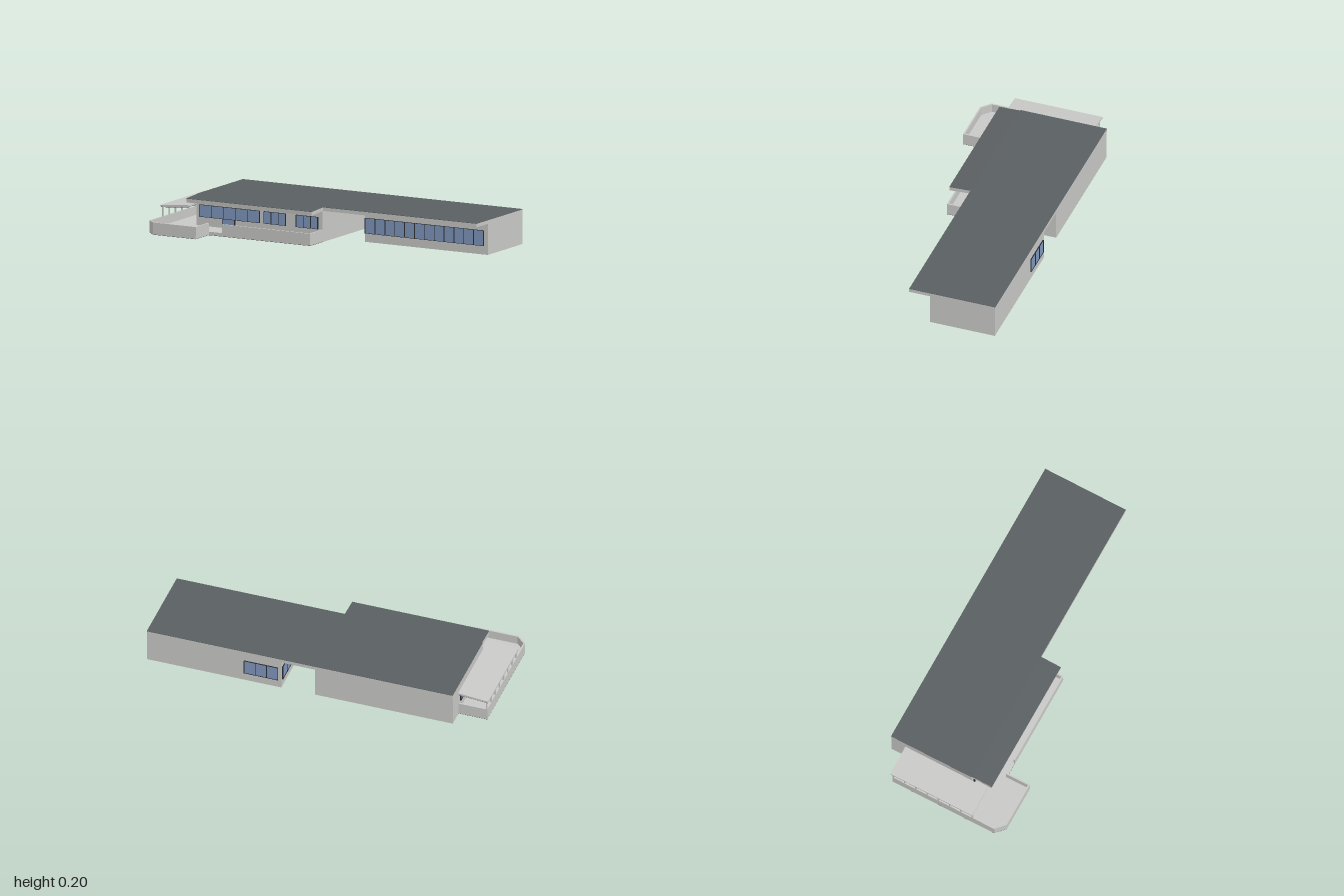
import * as THREE from 'three';

const mat = (name, color, side = THREE.FrontSide) => {
  const m = new THREE.MeshStandardMaterial({ color, side });
  m.name = name;
  return m;
};

export function createModel() {
  const model = new THREE.Group();
  model.name = 'longHouse';
  const wall = mat('paleConcrete', 0xc8c8c6);
  const slate = mat('darkSlate', 0x5a5f62);
  const glass = mat('blueGlass', 0x7f96bd);
  const trim = mat('blackTrim', 0x2a2c2f);

  // Box given by its limits on each axis
  const box = (name, [x0, x1], [y0, y1], [z0, z1], material, parent = model) => {
    const m = new THREE.Mesh(new THREE.BoxGeometry(x1 - x0, y1 - y0, z1 - z0), material);
    m.position.set((x0 + x1) / 2, (y0 + y1) / 2, (z0 + z1) / 2);
    m.name = name;
    parent.add(m);
    return m;
  };
  // Flat plan [x, z] extruded upwards from y0 to y1
  const slab = (name, plan, y0, y1, material) => {
    const shape = new THREE.Shape(plan.map(([x, z]) => new THREE.Vector2(x, -z)));
    const g = new THREE.ExtrudeGeometry(shape, { depth: y1 - y0, bevelEnabled: false });
    g.rotateX(-Math.PI / 2).translate(0, y0, 0);
    const m = new THREE.Mesh(g, material);
    m.name = name;
    model.add(m);
  };
  // Section [z, y] extruded along x
  const prism = (name, section, x0, x1, material) => {
    const shape = new THREE.Shape(section.map(([z, y]) => new THREE.Vector2(-z, y)));
    const g = new THREE.ExtrudeGeometry(shape, { depth: x1 - x0, bevelEnabled: false });
    g.rotateY(Math.PI / 2).translate(x0, 0, 0);
    const m = new THREE.Mesh(g, material);
    m.name = name;
    model.add(m);
  };
  // Row of panes with thin fins; built facing +z, then turned into place
  const windowRow = (name, width, y0, y1, panes, x, z, turn = 0) => {
    const g = new THREE.Group();
    g.name = name;
    box('pane', [-width / 2, width / 2], [y0, y1], [0, 0.003], glass, g);
    for (let i = 0; i <= panes; i++) {
      const p = -width / 2 + (width * i) / panes;
      box('mullion', [p - 0.0015, p + 0.0015], [y0, y1], [0, 0.007], trim, g);
    }
    for (const y of [y0, y1]) {
      box('frame', [-width / 2, width / 2], [y - 0.001, y + 0.001], [0, 0.006], trim, g);
    }
    g.position.set(x, 0, z);
    g.rotation.y = turn;
    model.add(g);
  };

  // Two wings with an open passage between them, dark underneath
  const wingMats = [wall, wall, wall, slate, wall, wall];
  box('leftHandWing', [-0.82, 0], [0, 0.18], [-0.4, 0.115], wingMats);
  box('longWing', [0.2, 1], [0, 0.18], [-0.4, -0.012], wingMats);

  // Roof slab, sloping front overhang and dark covering
  box('roofSlab', [-0.82, 1], [0.178, 0.198], [-0.402, 0.113], wall);
  box('roofCovering', [-0.82, 1], [0.198, 0.2], [-0.402, 0.113], slate);
  prism('overhang', [[0.113, 0.178], [0.238, 0.17], [0.24, 0.192], [0.113, 0.198]], -0.815, 0, wall);
  prism('overhangCovering', [[0.113, 0.198], [0.24, 0.192], [0.24, 0.194], [0.113, 0.2]], -0.815, 0, slate);

  // Windows
  windowRow('frontWindowLong', 0.39, 0.072, 0.14, 5, -0.605, 0.115);
  windowRow('frontDoor', 0.08, 0.022, 0.072, 1, -0.61, 0.115);
  windowRow('frontWindowMiddle', 0.14, 0.072, 0.14, 3, -0.31, 0.115);
  windowRow('frontWindowEnd', 0.14, 0.072, 0.14, 3, -0.1, 0.115);
  windowRow('longWingWindow', 0.77, 0.05, 0.137, 12, 0.59, -0.012);
  windowRow('backWindow', 0.2, 0.05, 0.135, 3, 0.32, -0.4, Math.PI);
  windowRow('passageWindow', 0.36, 0.05, 0.135, 5, 0.2, -0.206, -Math.PI / 2);
  windowRow('endWindow', 0.34, 0.072, 0.135, 5, -0.82, -0.1, -Math.PI / 2);

  // Terrace floor
  const plan = [[-0.82, -0.3], [-0.99, -0.3], [-0.99, 0.35], [-0.935, 0.4], [-0.66, 0.4],
    [-0.66, 0.255], [0, 0.255], [0, 0.11], [-0.82, 0.11]];
  slab('terraceBase', plan, 0, 0.002, slate);
  slab('terraceFloor', plan, 0.002, 0.02, wall);

  // Parapet around the terrace, with a gap for the entrance
  const parapet = (points) => {
    for (let i = 0; i + 1 < points.length; i++) {
      const a = new THREE.Vector2(...points[i]), b = new THREE.Vector2(...points[i + 1]);
      const m = new THREE.Mesh(new THREE.BoxGeometry(a.distanceTo(b) + 0.006, 0.068, 0.009), wall);
      m.position.set((a.x + b.x) / 2, 0.036, (a.y + b.y) / 2);
      m.rotation.y = -Math.atan2(b.y - a.y, b.x - a.x);
      m.name = 'parapet';
      model.add(m);
    }
  };
  parapet([[-0.82, -0.296], [-0.986, -0.296], [-0.986, 0.348], [-0.933, 0.396], [-0.664, 0.396], [-0.664, 0.255]]);
  parapet([[-0.57, 0.251], [-0.005, 0.251], [-0.005, 0.115]]);

  // Side canopy: tilted sheet with dark soffit, on a row of posts
  const canopy = new THREE.Group();
  canopy.name = 'canopy';
  box('canopySheet', [-0.09, 0.09], [-0.004, 0.007], [-0.262, 0.262], wall, canopy);
  box('canopySoffit', [-0.088, 0.088], [-0.007, -0.004], [-0.26, 0.26], slate, canopy);
  canopy.position.set(-0.909, 0.136, -0.048);
  canopy.rotation.z = 0.085;
  model.add(canopy);
  for (let i = 0; i < 8; i++) {
    const z = 0.208 - i * 0.072;
    box('canopyPost', [-0.99, -0.982], [0.068, 0.128], [z - 0.004, z + 0.004], wall);
  }

  return model;
}
